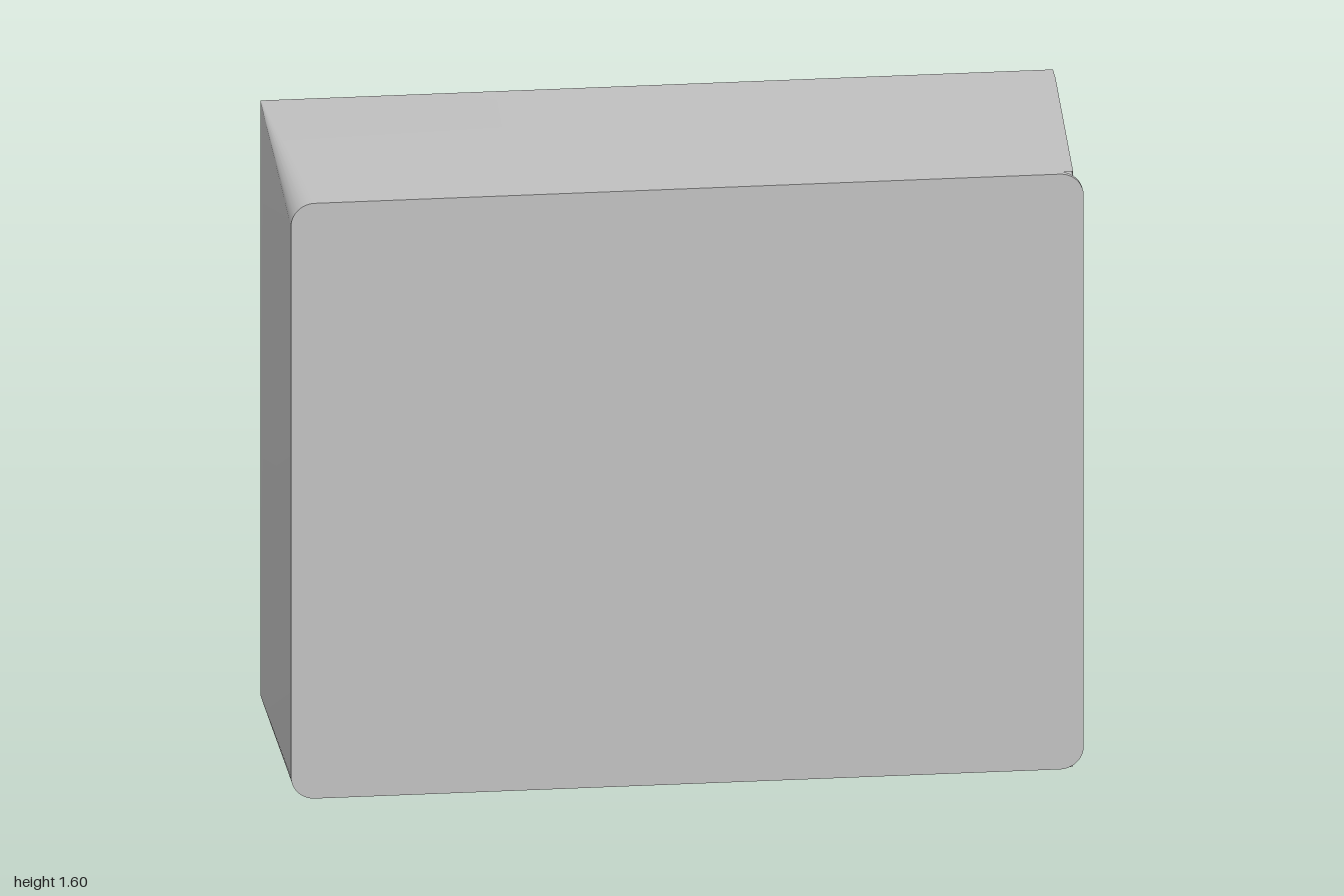
import * as THREE from 'three';
import { toCreasedNormals } from 'three/addons/utils/BufferGeometryUtils.js';

const TOP = 1.607, BOTTOM = 0.004, WALL = 0.018, CORNER = 6;

function meshFrom(name, positions, index, material) {
  const g = new THREE.BufferGeometry();
  g.setAttribute('position', new THREE.Float32BufferAttribute(positions, 3));
  g.setIndex(index);
  const mesh = new THREE.Mesh(toCreasedNormals(g, 0.6), material);
  mesh.name = name;
  return mesh;
}

// C-shaped path: roof, closed side, floor; open towards +x
function sleevePath(xOpen, radius, inset) {
  const r = Math.max(radius - inset, 0.002);
  const left = -1 + inset, top = TOP - inset, bottom = BOTTOM + inset;
  const pts = [[xOpen, top]];
  for (const [cy, start] of [[top - r, Math.PI / 2], [bottom + r, Math.PI]]) {
    for (let i = 0; i <= CORNER; i++) {
      const a = start + (i / CORNER) * Math.PI / 2;
      pts.push([left + r + r * Math.cos(a), cy + r * Math.sin(a)]);
    }
  }
  pts.push([xOpen, bottom]);
  return pts;
}

// Sleeve walls: rounded corners at the front fade to square ones at the back
function makeSleeve(material) {
  const stations = [[0.345, 0.975, 0.06], [-0.3, 1, 0.006], [-0.36, 1, 0.003]];
  const positions = [], index = [];
  let count = 0;
  for (const [z, xOpen, r] of stations) {
    const ring = [...sleevePath(xOpen, r, 0), ...sleevePath(xOpen, r, WALL).reverse()];
    count = ring.length;
    for (const [x, y] of ring) positions.push(x, y, z);
  }
  for (let s = 0; s < stations.length - 1; s++) {
    for (let i = 0; i < count; i++) {
      const j = (i + 1) % count, a = s * count, b = a + count;
      index.push(a + i, b + i, b + j, a + i, b + j, a + j);
    }
  }
  // rear rim
  const o = (stations.length - 1) * count;
  for (let k = 0; k < count / 2 - 1; k++) {
    const p = o + k, q = p + 1, u = o + count - 1 - k, v = u - 1;
    index.push(p, v, q, p, u, v);
  }
  return meshFrom('sleeveWalls', positions, index, material);
}

// Rounded plate closing the front
function makeFrontPanel(material) {
  const r = 0.06, s = new THREE.Shape();
  s.moveTo(-1 + r, BOTTOM);
  s.lineTo(1 - r, BOTTOM);
  s.absarc(1 - r, BOTTOM + r, r, -Math.PI / 2, 0);
  s.absarc(1 - r, TOP - r, r, 0, Math.PI / 2);
  s.absarc(-1 + r, TOP - r, r, Math.PI / 2, Math.PI);
  s.absarc(-1 + r, BOTTOM + r, r, Math.PI, Math.PI * 1.5);
  const g = new THREE.ExtrudeGeometry(s, { depth: 0.015, bevelEnabled: false, curveSegments: 8 });
  g.translate(0, 0, 0.345);
  const mesh = new THREE.Mesh(toCreasedNormals(g, 0.6), material);
  mesh.name = 'frontPanel';
  return mesh;
}

// Faceted lower back that slopes outward to the floor edge
function makeBackSlope(material) {
  const positions = [
    1, 0.8, -0.326, -0.82, 0.8, -0.326, -0.983, 0.8, -0.326,
    1, 0.12, -0.36, -0.86, 0.04, -0.353, -0.983, 0.15, -0.36,
    1, 0.02, -0.36, -0.983, 0.02, -0.36, 1, 0.02, -0.326,
  ];
  const index = [
    0, 3, 1, 3, 4, 1, 1, 4, 5, 1, 5, 2,
    3, 6, 4, 6, 7, 4, 4, 7, 5,
    0, 8, 3, 8, 6, 3,
  ];
  const mesh = meshFrom('backSlope', positions, index, material);
  mesh.geometry.computeVertexNormals();
  return mesh;
}

export function createModel() {
  const group = new THREE.Group();
  group.name = 'openSidedSleeve';
  const grey = new THREE.MeshStandardMaterial({ color: 0xc0c0c0, side: THREE.DoubleSide });
  grey.name = 'plain grey';

  const box = (name, x0, x1, y0, y1, z0, z1) => {
    const mesh = new THREE.Mesh(new THREE.BoxGeometry(x1 - x0, y1 - y0, z1 - z0), grey);
    mesh.position.set((x0 + x1) / 2, (y0 + y1) / 2, (z0 + z1) / 2);
    mesh.name = name;
    group.add(mesh);
  };

  group.add(makeFrontPanel(grey), makeSleeve(grey), makeBackSlope(grey));
  // recessed back plate and the lip above it
  box('backPlate', -0.985, 1, 0.015, 1.595, -0.325, -0.302);
  box('backLip', -0.985, 1, 1.48, 1.6, -0.36, -0.325);
  return group;
}
